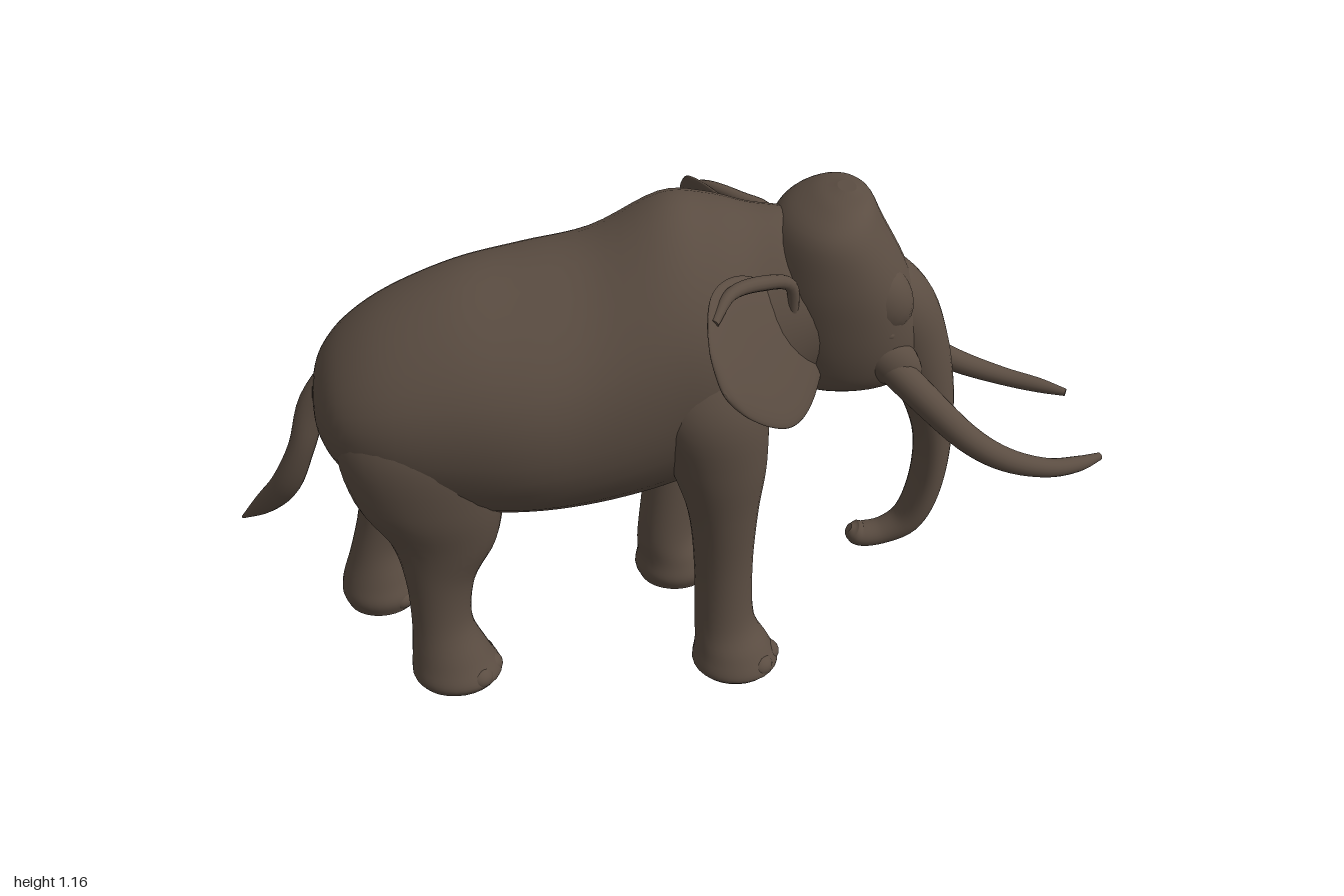
import * as THREE from 'three';

const skin = new THREE.MeshStandardMaterial({ color: 0x5b4d42 });
skin.name = 'greyBrownSkin';

// Smooth loft through stations [x, y, z, ru, rv]. u and v fix the ring axes;
// without them the rings stand square to the path. slim narrows the +u half.
function loft(stations, { u = null, v = null, seg = 28, steps = 5, pow = 1, slim = 0 } = {}) {
  const path = new THREE.CatmullRomCurve3(stations.map(s => new THREE.Vector3(s[0], s[1], s[2])), false, 'catmullrom');
  const size = new THREE.CatmullRomCurve3(stations.map(s => new THREE.Vector3(s[3], s[4], 0)), false, 'catmullrom');
  const n = (stations.length - 1) * steps;
  const pos = [], idx = [];
  const round = c => Math.sign(c) * Math.abs(c) ** pow;
  let flip = false;
  const ring = t => {
    const c = path.getPoint(t), r = size.getPoint(t), d = path.getTangent(t);
    const V = v ? v.clone() : new THREE.Vector3(0, 0, 1).addScaledVector(d, -d.z).normalize();
    const U = u ? u.clone() : V.clone().cross(d);
    flip = U.clone().cross(V).dot(d) < 0;
    for (let j = 0; j < seg; j++) {
      const a = j / seg * Math.PI * 2;
      const narrow = 1 - slim * Math.max(0, Math.cos(a)) ** 2;
      const p = c.clone().addScaledVector(U, round(Math.cos(a)) * Math.max(r.x, 0.002))
        .addScaledVector(V, round(Math.sin(a)) * narrow * Math.max(r.y, 0.002));
      pos.push(p.x, p.y, p.z);
    }
    return c;
  };
  const tri = (a, b, c) => flip ? idx.push(a, c, b) : idx.push(a, b, c);
  for (let i = 0; i <= n; i++) ring(i / n);
  for (let i = 0; i < n; i++) {
    for (let j = 0; j < seg; j++) {
      const k = (j + 1) % seg, a = i * seg, b = a + seg;
      tri(a + j, a + k, b + j);
      tri(a + k, b + k, b + j);
    }
  }
  // End caps with their own vertices, so the rims stay crisp
  for (const t of [0, 1]) {
    const start = pos.length / 3, c = ring(t), mid = start + seg;
    pos.push(c.x, c.y, c.z);
    for (let j = 0; j < seg; j++) {
      const k = (j + 1) % seg;
      if (t) tri(mid, start + j, start + k); else tri(mid, start + k, start + j);
    }
  }
  const g = new THREE.BufferGeometry();
  g.setAttribute('position', new THREE.Float32BufferAttribute(pos, 3));
  g.setIndex(idx);
  g.computeVertexNormals();
  return g;
}

const X = new THREE.Vector3(1, 0, 0), Y = new THREE.Vector3(0, 1, 0), Z = new THREE.Vector3(0, 0, 1);

export function createModel() {
  const model = new THREE.Group();
  model.name = 'elephant';
  const add = (name, geometry) => {
    const m = new THREE.Mesh(geometry, skin);
    m.name = name;
    model.add(m);
    return m;
  };
  const blob = (name, x, y, z, rx, ry, rz, tilt = 0) => {
    const m = add(name, new THREE.SphereGeometry(1, 20, 14));
    m.position.set(x, y, z);
    m.scale.set(rx, ry, rz);
    m.rotation.z = tilt;
  };

  // Body and neck: x, top, bottom, right edge, left edge
  const body = [
    [-0.775, 0.73, 0.67, -0.03, 0.04], [-0.755, 0.795, 0.6, -0.12, 0.13], [-0.7, 0.867, 0.54, -0.185, 0.22],
    [-0.6, 0.94, 0.485, -0.225, 0.275], [-0.45, 1.003, 0.44, -0.26, 0.303], [-0.3, 1.03, 0.425, -0.3, 0.313],
    [-0.15, 1.065, 0.43, -0.29, 0.293], [0, 1.14, 0.455, -0.288, 0.272], [0.1, 1.137, 0.5, -0.275, 0.255],
    [0.19, 1.12, 0.57, -0.215, 0.215], [0.27, 1.11, 0.67, -0.178, 0.188], [0.35, 1.08, 0.74, -0.15, 0.16],
  ].map(([x, t, b, r, l]) => [x, (t + b) / 2, (r + l) / 2, (t - b) / 2, (l - r) / 2]);
  add('body', loft(body, { u: Y, v: Z, seg: 40, pow: 0.95, slim: 0.2 }));

  // Head: y, back, front, half width
  const head = [
    [1.167, 0.375, 0.415, 0.03], [1.15, 0.32, 0.448, 0.11], [1.1, 0.25, 0.475, 0.163], [1.0, 0.21, 0.53, 0.175],
    [0.9, 0.2, 0.57, 0.165], [0.8, 0.22, 0.585, 0.145], [0.73, 0.26, 0.56, 0.115], [0.695, 0.3, 0.52, 0.06],
  ].map(([y, b, f, w]) => [(b + f) / 2, y, 0.012, (f - b) / 2, w]);
  add('head', loft(head, { u: X, v: Z, seg: 36, pow: 0.96 }));

  // Trunk, curling back at the tip
  add('trunk', loft([
    [0.43, 0.98, 0.012, 0.07, 0.1], [0.51, 0.885, 0.012, 0.093, 0.1], [0.565, 0.775, 0.012, 0.085, 0.084],
    [0.61, 0.66, 0.012, 0.063, 0.072], [0.633, 0.55, 0.013, 0.046, 0.066], [0.635, 0.45, 0.015, 0.04, 0.061],
    [0.62, 0.36, 0.018, 0.038, 0.054], [0.59, 0.295, 0.02, 0.035, 0.045], [0.54, 0.262, 0.02, 0.03, 0.037],
    [0.49, 0.253, 0.02, 0.029, 0.035], [0.467, 0.262, 0.02, 0.026, 0.03], [0.455, 0.272, 0.02, 0.01, 0.012],
  ]));

  // Tail
  add('tail', loft([
    [-0.7, 0.77, 0, 0.04, 0.05], [-0.775, 0.68, 0.015, 0.035, 0.036], [-0.815, 0.57, 0.03, 0.03, 0.026],
    [-0.865, 0.46, 0.01, 0.034, 0.026], [-0.93, 0.37, -0.04, 0.027, 0.022], [-1, 0.295, -0.09, 0.004, 0.004],
  ], { seg: 16 }));

  for (const s of [1, -1]) {
    const zc = z => 0.012 + s * z;
    const named = part => (s > 0 ? 'left' : 'right') + part;

    // Tusk and its socket
    add(named('Tusk'), loft([
      [0.48, 0.8, 0.1, 0.036], [0.56, 0.73, 0.145, 0.035], [0.66, 0.645, 0.193, 0.031], [0.75, 0.592, 0.208, 0.027],
      [0.85, 0.558, 0.197, 0.022], [0.93, 0.546, 0.17, 0.018], [0.99, 0.542, 0.138, 0.009],
    ].map(([x, y, z, r]) => [x, y, zc(z), r, r]), { seg: 18 }));
    blob(named('TuskSocket'), 0.49, 0.8, zc(0.095), 0.1, 0.055, 0.05, -0.75);

    // Brow and eye
    blob(named('Brow'), 0.455, 0.95, zc(0.085), 0.1, 0.075, 0.066, -0.9);
    blob(named('Eye'), 0.48, 0.875, zc(0.13), 0.016, 0.012, 0.012);

    // Ear: z, bottom, top, half thickness; swept back, its lower end forward
    const lean = -0.53;
    const earX = (z, y) => 0.228 - 0.65 * (z - 0.2) + lean * (y - 0.9);
    add(named('Ear'), loft([
      [0.14, 0.77, 1.02, 0.026], [0.19, 0.745, 1.055, 0.022], [0.24, 0.733, 1.07, 0.019], [0.29, 0.742, 1.064, 0.017],
      [0.335, 0.775, 1.028, 0.016], [0.37, 0.818, 0.98, 0.013], [0.388, 0.855, 0.93, 0.01], [0.396, 0.885, 0.9, 0.003],
    ].map(([z, b, t, h]) => [earX(z, (b + t) / 2), (b + t) / 2, s * z, (t - b) / 2, h]),
    { u: new THREE.Vector3(lean, 1, 0), v: X }));

    // Folded rim along the top of the ear
    add(named('EarFold'), loft([
      [0.27, 0.93, 0.165, 0.01], [0.26, 1.02, 0.175, 0.014], [0.195, 1.043, 0.205, 0.016],
      [0.125, 1.05, 0.26, 0.014], [0.085, 1.02, 0.325, 0.01],
    ].map(([x, y, z, r]) => [x, y, s * z, r, r]), { seg: 12 }));

    // Legs in mid stride: x, y, z, radius along x, radius along z
    const shift = s > 0 ? 0 : -0.115;
    const floor = s > 0 ? 0.016 : 0.004;
    const leg = (name, stations, footX, footZ) => {
      add(named(name), loft(stations.map(([x, y, z, a, b]) => [x, y, s * z, a, b]), { u: X, v: Z }));
      // Toes around the front of the foot
      for (const a of [-0.8, 0, 0.8]) {
        blob(named('Toe'), footX + Math.cos(a) * 0.07, floor + 0.028, s * footZ + Math.sin(a) * 0.064, 0.032, 0.027, 0.032);
      }
    };
    leg('FrontLeg', [
      [0.08, 0.9, 0.14, 0.1, 0.075], [0.09, 0.75, 0.178, 0.13, 0.1], [0.115 + shift * 0.3, 0.6, 0.183, 0.11, 0.09],
      [0.13 + shift * 0.6, 0.46, 0.182, 0.08, 0.072], [0.135 + shift * 0.85, 0.3, 0.173, 0.068, 0.065],
      [0.14 + shift, 0.15, 0.174, 0.07, 0.068], [0.158 + shift, 0.08, 0.185, 0.088, 0.083],
      [0.166 + shift, 0.035, 0.19, 0.102, 0.095], [0.166 + shift, floor, 0.19, 0.09, 0.085],
    ], 0.17 + shift, 0.19);
    const hind = s > 0 ? [
      [-0.54, 0.82, 0.13, 0.12, 0.09], [-0.54, 0.68, 0.165, 0.175, 0.12], [-0.525, 0.53, 0.175, 0.165, 0.108],
      [-0.5, 0.41, 0.178, 0.12, 0.08], [-0.515, 0.3, 0.178, 0.08, 0.066], [-0.52, 0.18, 0.18, 0.07, 0.064],
      [-0.505, 0.09, 0.185, 0.09, 0.08], [-0.493, 0.04, 0.19, 0.105, 0.092], [-0.493, floor, 0.19, 0.093, 0.082],
    ] : [
      [-0.6, 0.82, 0.08, 0.12, 0.08], [-0.62, 0.68, 0.12, 0.17, 0.106], [-0.625, 0.53, 0.123, 0.145, 0.1],
      [-0.645, 0.41, 0.122, 0.09, 0.077], [-0.665, 0.3, 0.123, 0.062, 0.067], [-0.695, 0.18, 0.125, 0.06, 0.065],
      [-0.7, 0.09, 0.128, 0.084, 0.08], [-0.695, 0.04, 0.13, 0.097, 0.092], [-0.695, floor, 0.13, 0.086, 0.082],
    ];
    leg('HindLeg', hind, s > 0 ? -0.488 : -0.692, s > 0 ? 0.19 : 0.13);
  }
  return model;
}
